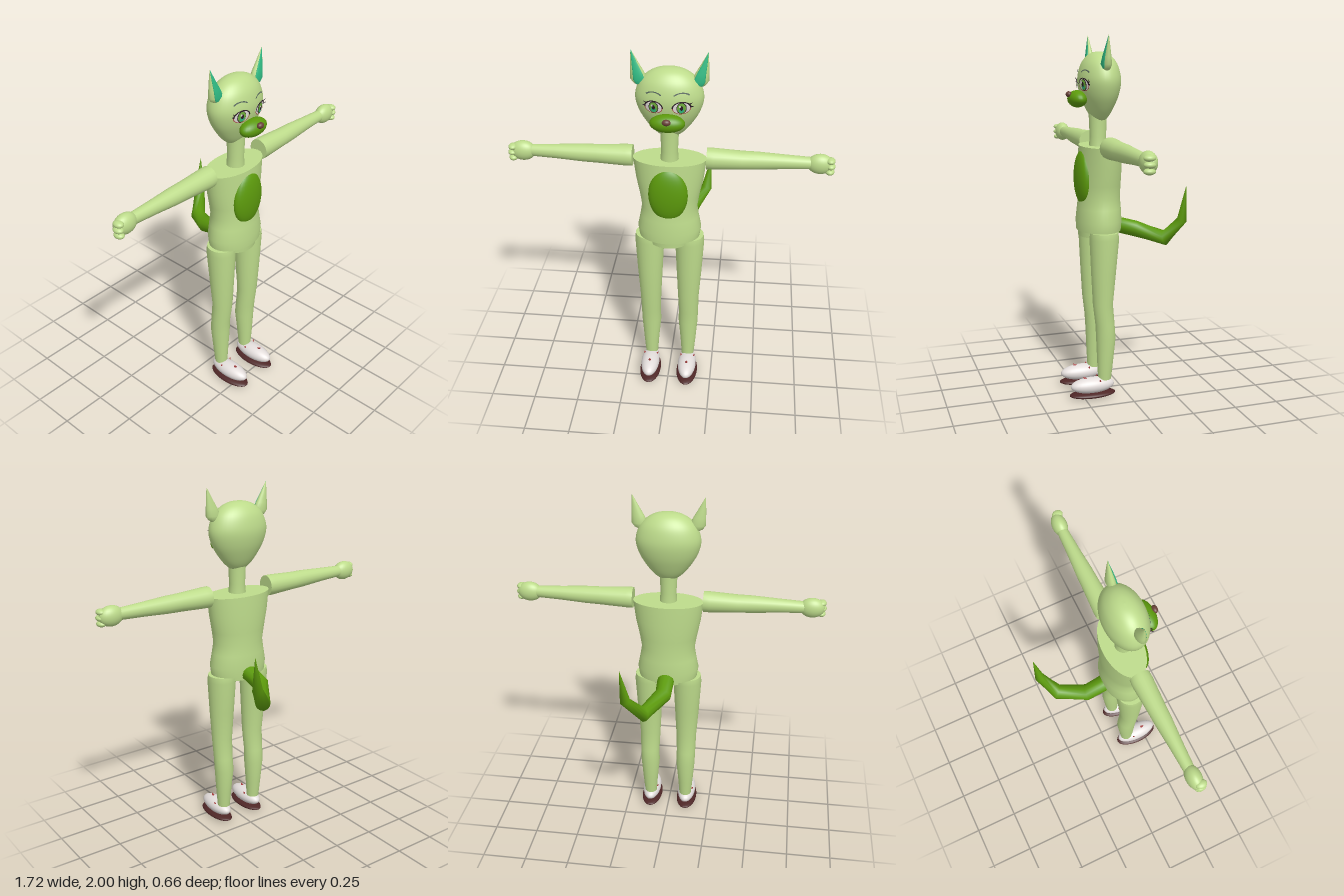
import * as THREE from 'three';

const mat = (name, color) => {
  const m = new THREE.MeshStandardMaterial({ color });
  m.name = name;
  return m;
};

// Closed loft of elliptical rings [x, y, z, a, b]; a lies along ref x tangent, b across it.
function loft(sections, sides, axis, ref = [0, 0, 1]) {
  const pos = [], idx = [], R = new THREE.Vector3(...ref);
  const P = sections.map(s => new THREE.Vector3(s[0], s[1], s[2]));
  const last = sections.length - 1;
  const ring = (i) => {
    const t = axis ? new THREE.Vector3(...axis)
      : P[Math.min(i + 1, last)].clone().sub(P[Math.max(i - 1, 0)]).normalize();
    const u = R.clone().cross(t).normalize(), v = t.clone().cross(u);
    for (let j = 0; j < sides; j++) {
      const q = j / sides * Math.PI * 2;
      const p = P[i].clone().addScaledVector(u, Math.cos(q) * sections[i][3])
        .addScaledVector(v, Math.sin(q) * sections[i][4]);
      pos.push(p.x, p.y, p.z);
    }
  };
  for (let i = 0; i <= last; i++) ring(i);
  for (let i = 0; i < last; i++) for (let j = 0; j < sides; j++) {
    const a = i * sides + j, b = i * sides + (j + 1) % sides;
    idx.push(a, b, b + sides, a, b + sides, a + sides);
  }
  // End caps have their own corners so the rims stay sharp
  for (const i of [0, last]) {
    const base = pos.length / 3;
    ring(i);
    pos.push(P[i].x, P[i].y, P[i].z);
    for (let j = 0; j < sides; j++) {
      const a = base + j, b = base + (j + 1) % sides, c = base + sides;
      if (i) idx.push(c, a, b); else idx.push(c, b, a);
    }
  }
  const g = new THREE.BufferGeometry();
  g.setAttribute('position', new THREE.Float32BufferAttribute(pos, 3));
  g.setIndex(idx);
  g.computeVertexNormals();
  return g;
}

// Head outline (radius, height) and its flattened depth
const headCurve = new THREE.SplineCurve([[0, 1.54], [0.045, 1.549], [0.085, 1.58], [0.124, 1.63],
  [0.156, 1.685], [0.174, 1.745], [0.17, 1.795], [0.145, 1.85], [0.1, 1.89], [0.05, 1.91], [0, 1.915]]
  .map(p => new THREE.Vector2(...p)));
const headPts = headCurve.getPoints(40);
headPts.forEach(p => { p.x = Math.max(p.x, 0); });
const HEAD_Z = 0.12, HEAD_DEPTH = 0.64;

function faceZ(x, y) {
  let i = 1;
  while (i < headPts.length - 1 && headPts[i].y < y) i++;
  const a = headPts[i - 1], b = headPts[i];
  const r = a.x + (b.x - a.x) * (y - a.y) / (b.y - a.y);
  return HEAD_Z + HEAD_DEPTH * Math.sqrt(Math.max(r * r - x * x, 0));
}

// Thin elliptical patch or arc that follows the face
function facePatch(cx, cy, rx, ry, lift, inner = 0, start = 0, length = Math.PI * 2) {
  const g = new THREE.RingGeometry(inner, 1, 28, 4, start, length);
  const p = g.attributes.position;
  for (let i = 0; i < p.count; i++) {
    const x = cx + p.getX(i) * rx, y = cy + p.getY(i) * ry;
    p.setXYZ(i, x, y, faceZ(x, y) + lift);
  }
  g.computeVertexNormals();
  return g;
}

export function createModel() {
  const root = new THREE.Group();
  root.name = 'catFigure';
  const skin = mat('pale green skin', 0xbddb8b), green = mat('leaf green', 0x5c9a0c);
  const white = mat('off white', 0xe4dedc), sole = mat('dark brown sole', 0x4e2626);
  const red = mat('dark red', 0xa83c3c), teal = mat('teal', 0x30bc84);
  const iris = mat('iris green', 0x6fae3c), black = mat('near black', 0x2a1c24);
  const nose = mat('nose brown', 0x6a4238), brow = mat('slate brow', 0x56665c);

  const add = (name, geo, material, parent = root) => {
    const m = new THREE.Mesh(geo, material);
    m.name = name;
    parent.add(m);
    return m;
  };
  const ball = (name, material, x, y, z, rx, ry, rz, parent) => {
    const g = new THREE.SphereGeometry(1, 28, 18);
    g.scale(rx, ry, rz);
    g.translate(x, y, z);
    return add(name, g, material, parent);
  };
  const spike = (name, material, p, dir, r, h, parent) => {
    const m = add(name, new THREE.ConeGeometry(r, h, 6), material, parent);
    m.position.set(...p);
    m.quaternion.setFromUnitVectors(new THREE.Vector3(0, 1, 0), new THREE.Vector3(...dir).normalize());
  };
  const UP = [0, 1, 0];

  // Trunk
  add('torso', loft([
    [0, 0.945, 0.128, 0.165, 0.12], [0, 1.0, 0.127, 0.173, 0.123], [0, 1.07, 0.125, 0.159, 0.118],
    [0, 1.13, 0.124, 0.15, 0.112], [0, 1.2, 0.122, 0.161, 0.113], [0, 1.3, 0.119, 0.181, 0.113],
    [0, 1.41, 0.118, 0.195, 0.108]], 36, UP), skin);
  add('pelvis', loft([[0, 0.912, 0.14, 0.112, 0.1], [0, 0.96, 0.14, 0.116, 0.104]], 28, UP), skin);
  ball('bellyPatch', green, 0, 1.235, 0.215, 0.105, 0.153, 0.045);
  add('neck', loft([[0, 1.39, 0.128, 0.05, 0.05], [0, 1.46, 0.128, 0.044, 0.045],
    [0, 1.59, 0.128, 0.05, 0.05]], 20, UP), skin);

  // Head
  const head = new THREE.LatheGeometry(headPts, 40);
  head.scale(1, 1, HEAD_DEPTH);
  head.translate(0, 0, HEAD_Z);
  add('head', head, skin);
  ball('muzzle', green, 0, 1.665, 0.243, 0.09, 0.046, 0.05);
  ball('nose', nose, 0, 1.69, 0.29, 0.022, 0.016, 0.016);

  // Tail
  add('tail', loft([[0, 0.965, 0.03, 0.044, 0.048], [0, 0.93, -0.09, 0.045, 0.047],
    [0.09, 0.885, -0.235, 0.043, 0.042], [0.175, 1.0, -0.302, 0.027, 0.03],
    [0.2, 1.19, -0.315, 0.001, 0.001]], 12, null, [1, 0, 0]), green);

  for (const s of [1, -1]) {
    const side = s > 0 ? 'left' : 'right';
    const group = (name) => {
      const g = new THREE.Group();
      g.name = side + name;
      root.add(g);
      return g;
    };

    // Ear with a coloured inner face
    const ear = group('Ear');
    const earRings = [[0.15, 1.815, 0.008, 0.008], [0.151, 1.828, 0.03, 0.02], [0.154, 1.85, 0.044, 0.026],
      [0.163, 1.89, 0.034, 0.021], [0.177, 1.94, 0.019, 0.012], [0.192, 2.0, 0.001, 0.001]];
    add('earShell', loft(earRings.map(([x, y, a, b]) => [s * x, y, 0.125, a, b]), 18, UP), skin, ear);
    add('earInner', loft(earRings.slice(1).map(([x, y, a, b]) =>
      [s * (x - a * 0.1), y, 0.125 + b * 0.82, a * 0.68, b * 0.26]), 14, UP), teal, ear);

    // Eye layers, lashes and brow
    const eye = group('Eye'), ex = s * 0.07, ey = 1.742;
    add('eyeWhite', facePatch(ex, ey, 0.044, 0.031, 0.004), white, eye);
    add('irisRim', facePatch(ex, ey, 0.025, 0.031, 0.0055), black, eye);
    add('iris', facePatch(ex, ey, 0.022, 0.028, 0.007), iris, eye);
    add('irisGlow', facePatch(ex, ey - 0.012, 0.013, 0.013, 0.0085), teal, eye);
    add('pupil', facePatch(ex, ey + 0.002, 0.008, 0.013, 0.01), black, eye);
    add('glint', facePatch(ex - 0.008, ey + 0.012, 0.005, 0.006, 0.0115), white, eye);
    add('upperLash', facePatch(ex, ey, 0.049, 0.037, 0.009, 0.86, 0, Math.PI), black, eye);
    add('lowerLid', facePatch(ex, ey, 0.046, 0.033, 0.007, 0.92, Math.PI, Math.PI), red, eye);
    for (const k of [0, 1]) {
      spike('lash', black, [s * (0.121 - k * 0.006), ey + 0.006 + k * 0.016, 0.212],
        [s, 0.5 + k * 0.4, 0.6], 0.004, 0.026, eye);
    }
    add('brow', facePatch(ex, 1.788, 0.05, 0.034, 0.005, 0.84, Math.PI * 0.2, Math.PI * 0.6), brow, eye);

    // Arm and fist
    const arm = group('Arm');
    add('sleevelessArm', loft([[0.195, 1.415, 0.058, 0.056], [0.23, 1.415, 0.058, 0.058],
      [0.38, 1.415, 0.05, 0.05], [0.46, 1.416, 0.048, 0.047], [0.6, 1.417, 0.039, 0.037],
      [0.74, 1.417, 0.032, 0.03]].map(([x, y, a, b]) => [s * x, y, 0.122, a, b]), 20, [s, 0, 0]), skin, arm);
    ball('palm', skin, s * 0.782, 1.415, 0.124, 0.068, 0.055, 0.042, arm);
    for (let i = 0; i < 3; i++) {
      ball('finger', skin, s * (0.836 - Math.abs(i - 1) * 0.003), 1.441 - i * 0.031, 0.136,
        0.024, 0.0165, 0.03, arm);
    }

    // Leg
    add(side + 'Leg', loft([[0.107, 0.1, 0.128, 0.036, 0.037], [0.108, 0.2, 0.125, 0.044, 0.045],
      [0.107, 0.34, 0.12, 0.056, 0.055], [0.109, 0.42, 0.125, 0.056, 0.054],
      [0.108, 0.54, 0.137, 0.06, 0.056], [0.11, 0.72, 0.133, 0.071, 0.069],
      [0.111, 0.91, 0.128, 0.081, 0.082], [0.111, 0.945, 0.128, 0.077, 0.078]]
      .map(([x, y, z, a, b]) => [s * x, y, z, a, b]), 22, UP), skin);

    // Shoe
    const shoe = group('Shoe');
    ball('sole', sole, s * 0.109, 0.019, 0.2, 0.061, 0.019, 0.133, shoe);
    ball('upper', white, s * 0.109, 0.07, 0.2, 0.053, 0.045, 0.126, shoe);
    spike('shoeSpike', red, [s * 0.109, 0.114, 0.245], [0, 0.7, 0.7], 0.012, 0.03, shoe);
    for (const k of [-1, 1]) {
      spike('shoeSpike', red, [s * 0.109 + k * 0.036, 0.1, 0.165], [k * 0.6, 1, 0], 0.011, 0.03, shoe);
    }
  }
  return root;
}
